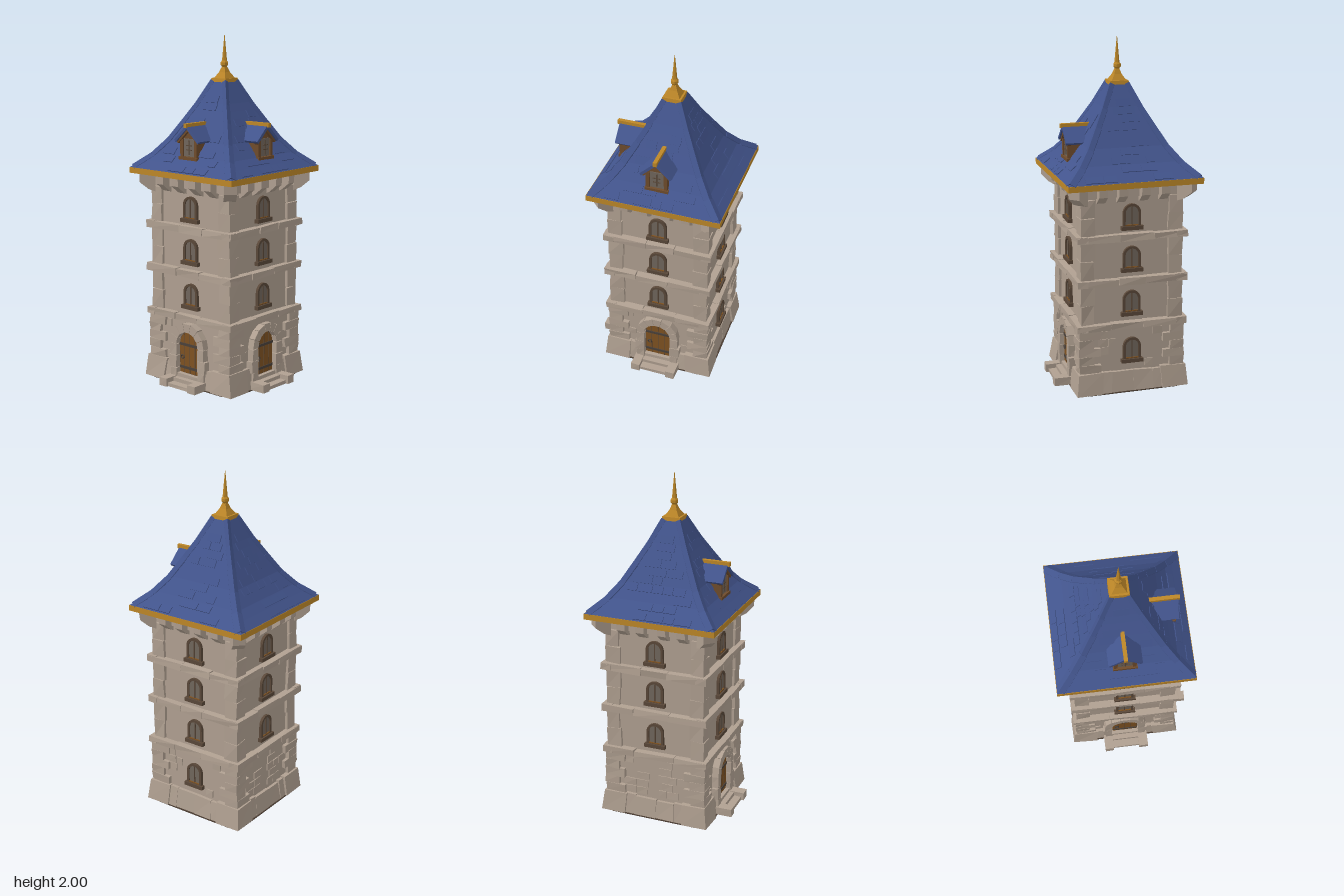
import * as THREE from 'three';

const mat = (name, color) => {
  const m = new THREE.MeshStandardMaterial({ color });
  m.name = name;
  return m;
};

export function createModel() {
  const stone = mat('stone', 0xb0a091), slate = mat('blue slate', 0x42548c);
  const gold = mat('gold', 0xbd8728), wood = mat('door wood', 0x7f5221);
  const timber = mat('dormer timber', 0x6f4c2c), dark = mat('dark wood', 0x5a4839);
  const glass = mat('window glass', 0x70665c), iron = mat('iron', 0x4a413a);
  const under = mat('dark underside', 0x4a3c31);

  let seed = 7;
  const rand = () => (seed = (seed * 16807) % 2147483647) / 2147483647;
  const range = (a, b) => a + (b - a) * rand();
  const outline = points => new THREE.Shape(points.map(q => new THREE.Vector2(...q)));

  const add = (parent, name, geo, material) => {
    const g = geo.index ? geo.toNonIndexed() : geo;
    g.computeVertexNormals();
    const mesh = new THREE.Mesh(g, material);
    mesh.name = name;
    parent.add(mesh);
    return mesh;
  };
  // Box between two corners
  const box = (p, name, m, x0, x1, y0, y1, z0, z1) =>
    add(p, name, new THREE.BoxGeometry(x1 - x0, y1 - y0, z1 - z0)
      .translate((x0 + x1) / 2, (y0 + y1) / 2, (z0 + z1) / 2), m);
  // Rough-hewn block: a box whose eight corners are nudged; lean pulls the top inwards
  const block = (p, name, x0, x1, y0, y1, z0, z1, j = 0.005, lean = 0) => {
    const g = new THREE.BoxGeometry(1, 1, 1), a = g.attributes.position;
    const n = Array.from({ length: 8 }, () => [range(-j, j), range(-j, j), range(-j, j)]);
    for (let i = 0; i < a.count; i++) {
      const u = a.getX(i) > 0, v = a.getY(i) > 0, w = a.getZ(i) > 0;
      const o = n[(u ? 1 : 0) + (v ? 2 : 0) + (w ? 4 : 0)];
      const x = (u ? x1 : x0) + o[0], z = (w ? z1 : z0) + o[2];
      const s = v ? 1 - lean : 1;
      a.setXYZ(i, x * s, y0 < 0.01 && !v ? y0 : (v ? y1 : y0) + o[1], z * s);
    }
    return add(p, name, g, stone);
  };
  // Round-headed outline
  const arch = (half, y0, spring, T = THREE.Shape) => {
    const s = new T();
    s.moveTo(-half, y0);
    s.lineTo(half, y0);
    s.lineTo(half, spring);
    s.absarc(0, spring, half, 0, Math.PI, false);
    s.lineTo(-half, y0);
    return s;
  };
  const extrude = (shape, depth, z = 0) => new THREE.ExtrudeGeometry(shape,
    { depth, bevelEnabled: false, curveSegments: 6 }).translate(0, 0, z);

  const root = new THREE.Group();
  root.name = 'tower';
  const tower = new THREE.Group();
  tower.name = 'towerBody';
  tower.position.set(0.007, 0, -0.012);
  root.add(tower);

  const floors = [[0.13, 0.38], [0.42, 0.645], [0.68, 0.9], [0.94, 1.14]];
  box(tower, 'lowerWall', stone, -0.29, 0.29, 0.004, 0.4, -0.29, 0.29);
  box(tower, 'upperWall', stone, -0.282, 0.282, 0.4, 1.22, -0.282, 0.282);
  box(tower, 'cornice', stone, -0.3, 0.3, 1.15, 1.22, -0.3, 0.3);

  // Dark underside with cut corners
  const e = 0.33, c = 0.265;
  const base = outline([[e, -c], [e, c], [c, e], [-c, e], [-e, c], [-e, -c], [-c, -e], [c, -e]]);
  add(tower, 'underside', extrude(base, 0.004).rotateX(-Math.PI / 2), under);

  // Arched window with sill, frame and glazing bars
  const windowAt = (p, y, z) => {
    const g = new THREE.Group();
    g.name = 'window';
    g.position.set(0, y, z);
    p.add(g);
    const frame = arch(0.052, 0, 0.085);
    frame.holes.push(arch(0.038, 0.012, 0.085, THREE.Path));
    add(g, 'windowFrame', extrude(frame, 0.022, -0.006), dark);
    add(g, 'windowPane', extrude(arch(0.04, 0.01, 0.085), 0.008, 0), glass);
    box(g, 'mullion', dark, -0.003, 0.003, 0.01, 0.12, 0, 0.013);
    box(g, 'innerLedge', wood, -0.038, 0.038, 0.008, 0.017, 0, 0.015);
    box(g, 'windowSill', dark, -0.064, 0.064, -0.012, 0.01, -0.01, 0.026);
  };

  // Arched doorway with stone surround, plank door and steps
  const doorway = p => {
    const g = new THREE.Group();
    g.name = 'doorway';
    p.add(g);
    add(g, 'doorBack', extrude(arch(0.09, 0.04, 0.24), 0.008, 0.288), dark);
    add(g, 'doorLeaf', extrude(arch(0.077, 0.07, 0.24), 0.008, 0.294), wood);
    for (const x of [-0.04, 0, 0.04]) box(g, 'plankGap', dark, x - 0.0015, x + 0.0015, 0.07, 0.305, 0.3, 0.304);
    for (const y of [0.095, 0.232]) box(g, 'doorBand', iron, -0.077, 0.077, y, y + 0.015, 0.298, 0.307);
    add(g, 'doorHandle', new THREE.TorusGeometry(0.011, 0.004, 4, 8).translate(-0.052, 0.165, 0.308), iron);
    for (const s of [-1, 1]) {
      for (let i = 0; i < 3; i++) {
        const y = 0.03 + i * 0.07, w = 0.128 + (i % 2) * 0.01;
        block(g, 'jambStone', Math.min(s * 0.082, s * w), Math.max(s * 0.082, s * w), y, y + 0.068, 0.27, 0.33, 0.003);
      }
      const x = s * 0.11;
      block(g, 'stepCheek', x - 0.027, x + 0.027, 0.002, 0.05, 0.3, 0.415, 0.002);
    }
    for (let i = 0; i < 7; i++) {
      const a0 = i * Math.PI / 7 + 0.01, a1 = (i + 1) * Math.PI / 7 - 0.01, r = 0.133 + range(-0.004, 0.004);
      const s = outline([[0.083, a0], [r, a0], [r, a1], [0.083, a1]]
        .map(([q, a]) => [q * Math.cos(a), 0.24 + q * Math.sin(a)]));
      add(g, 'archStone', extrude(s, 0.062, 0.268), stone);
    }
    block(g, 'lowerStep', -0.085, 0.085, 0.002, 0.022, 0.29, 0.4, 0.002);
    block(g, 'upperStep', -0.085, 0.085, 0.002, 0.045, 0.29, 0.355, 0.002);
    block(g, 'threshold', -0.085, 0.085, 0.03, 0.066, 0.28, 0.322, 0.002);
  };

  // Bracket under the eaves
  const corbel = (p, x, shift, w) => {
    const s = outline([[0.26, 1.11], [0.3, 1.125], [0.35, 1.165], [0.352, 1.218], [0.26, 1.218]]
      .map(([z, y]) => [z + shift, y]));
    add(p, 'corbel', extrude(s, w, -w / 2).rotateY(-Math.PI / 2).translate(x, 0, 0), stone);
  };

  // Roof slope as [half width, height], eaves to peak
  const profile = [[0.384, 1.248], [0.295, 1.325], [0.228, 1.41], [0.165, 1.52], [0.112, 1.615], [0.05, 1.745]];
  const radiusAt = y => {
    let i = 0;
    while (i < profile.length - 2 && y > profile[i + 1][1]) i++;
    const [r0, y0] = profile[i], [r1, y1] = profile[i + 1];
    return r0 + (r1 - r0) * (y - y0) / (y1 - y0);
  };

  // Gabled dormer
  const dormer = p => {
    const g = new THREE.Group();
    g.name = 'dormer';
    p.add(g);
    const gable = outline([[-0.058, 1.3], [0.058, 1.3], [0.058, 1.425], [0, 1.49], [-0.058, 1.425]]);
    add(g, 'dormerWall', extrude(gable, 0.14, 0.155), timber);
    box(g, 'dormerWindow', glass, -0.04, 0.04, 1.335, 1.435, 0.29, 0.299);
    box(g, 'dormerMullion', dark, -0.003, 0.003, 1.345, 1.425, 0.295, 0.303);
    for (const y of [1.37, 1.395]) box(g, 'dormerBar', dark, -0.022, 0.022, y, y + 0.005, 0.295, 0.303);
    box(g, 'dormerSill', timber, -0.068, 0.068, 1.316, 1.333, 0.28, 0.313);
    for (const s of [-1, 1]) {
      box(g, 'dormerPost', timber, s * 0.052 - 0.01, s * 0.052 + 0.01, 1.33, 1.43, 0.28, 0.306);
      const slope = Math.atan2(0.085, 0.09);
      const panel = box(g, 'dormerRoof', slate, -0.062, 0.062, -0.008, 0.008, 0.14, 0.322);
      panel.position.set(s * 0.043, 1.462, 0);
      panel.rotation.z = -s * slope;
      const rafter = box(g, 'dormerRafter', timber, -0.055, 0.055, -0.008, 0.008, 0.29, 0.312);
      rafter.position.set(s * 0.04, 1.45, 0);
      rafter.rotation.z = -s * slope;
    }
    box(g, 'dormerRidge', gold, -0.011, 0.011, 1.498, 1.522, 0.15, 0.334);
  };

  // Stepped slate courses
  const courses = 12, y0 = profile[0][1], rise = (profile[5][1] - y0) / courses;
  for (let i = 0; i < courses; i++) {
    const lo = y0 + i * rise, hi = lo + rise;
    add(tower, 'roofCourse', new THREE.CylinderGeometry(radiusAt(hi) * Math.SQRT2,
      (radiusAt(lo) + 0.003) * Math.SQRT2, rise, 4).rotateY(Math.PI / 4).translate(0, (lo + hi) / 2, 0), slate);
  }

  // Four sides: front, left, back, right
  for (let k = 0; k < 4; k++) {
    const side = new THREE.Group();
    side.name = ['frontSide', 'leftSide', 'backSide', 'rightSide'][k];
    side.rotation.y = k * Math.PI / 2;
    tower.add(side);
    const hasDoor = k === 0 || k === 3;

    // Plinth
    block(side, 'plinthCorner', 0.18, 0.335, 0.004, 0.13, 0.18, 0.335, 0.004, 0.05);
    for (const [a, b] of [[-0.19, -0.125], [-0.125, 0.01], [0.01, 0.125], [0.125, 0.19]])
      if (!hasDoor || Math.abs(a + b) > 0.25) block(side, 'plinthStone', a, b, 0.004, 0.12 + range(-0.01, 0.01), 0.2, 0.322, 0.003, 0.04);

    // Corner stones of each storey
    floors.forEach(([a, b], f) => {
      const n = f ? 2 : 5, h = (b - a) / n, r = f ? 0.299 : 0.311;
      for (let i = 0; i < n; i++) {
        const w = f ? range(0.075, 0.09) : 0.085 + (i % 2) * 0.04, d = f ? range(0.075, 0.09) : 0.125 - (i % 2) * 0.04;
        block(side, 'cornerStone', r - w, r, a + i * h, a + (i + 1) * h, r - d, r, 0.004);
      }
    });

    // String courses
    for (const y of [0.382, 0.645, 0.9]) {
      const m = range(-0.14, -0.06), n = range(0.06, 0.14);
      for (const [a, b] of [[-0.323, m], [m, n], [n, 0.323]])
        block(side, 'bandStone', a + 0.001, b - 0.001, y, y + 0.038, 0.26, 0.322, 0.004);
    }

    // Scattered wall stones
    for (let row = 0; row < 5; row++)
      for (let x = -0.2; x < 0.17;) {
        const end = Math.min(x + range(0.045, 0.085), 0.2), y = 0.135 + row * 0.048;
        const clear = hasDoor ? 0.14 : k === 1 ? 0.07 : 0;
        if ((x > clear || end < -clear) && rand() < 0.55)
          block(side, 'wallStone', x, end - 0.004, y, y + 0.044, 0.27, 0.296, 0.002);
        x = end;
      }

    for (const y of [0.465, 0.725, 0.97]) windowAt(side, y, 0.282);
    if (hasDoor) {
      doorway(side);
      dormer(side);
    } else if (k === 1) windowAt(side, 0.185, 0.292);

    // Corbels, with a larger one at the corner
    for (const x of [-0.18, -0.065, 0.065, 0.18]) corbel(side, x, 0, 0.05);
    const corner = new THREE.Group();
    corner.name = 'roofCorner';
    corner.rotation.y = Math.PI / 4;
    side.add(corner);
    corbel(corner, 0, 0.14, 0.07);

    // Folded hip caps along the roof corner, narrowing to the peak
    for (let i = 0; i < 5; i++) {
      const [rb, yb] = profile[i], [rt, yt] = profile[i + 1];
      const dz = (rb - rt) * Math.SQRT2, dy = yb - yt, w = 0.03 - i * 0.003;
      const fold = outline([[0, 0.009], [-w, -0.012], [-w, -0.03], [w, -0.03], [w, -0.012]]);
      const cap = add(corner, 'hipCap', extrude(fold, Math.hypot(dz, dy) + (i ? 0.006 : -0.018)), slate);
      cap.position.set(0, yt, rt * Math.SQRT2);
      cap.rotation.x = -Math.atan2(dy, dz);
    }

    // Raised slates
    for (let i = 0; i < courses - 1; i++) {
      const lo = y0 + i * rise, hi = lo + rise, rl = radiusAt(lo), rh = radiusAt(hi);
      for (let x = -rh + 0.05; x < rh - 0.1;) {
        const end = Math.min(x + range(0.05, 0.12), rh - 0.04);
        if (rand() < 0.5) {
          const tile = box(side, 'roofSlate', slate, x, end - 0.004, -0.005, 0.005, -0.022, 0.022);
          tile.position.set(0, (lo + hi) / 2, (rl + rh) / 2 + 0.001);
          tile.rotation.x = Math.atan2(hi - lo, rl - rh) - 0.04;
        }
        x = end;
      }
    }
  }

  // Gold eaves and finial
  box(tower, 'eavesTrim', gold, -0.388, 0.388, 1.216, 1.249, -0.388, 0.388);
  const finial = (name, rt, rb, a, b, sides = 4) => add(tower, name,
    new THREE.CylinderGeometry(rt * Math.SQRT2, rb * Math.SQRT2, b - a, sides).rotateY(Math.PI / 4).translate(0, (a + b) / 2, 0), gold);
  finial('finialPlate', 0.053, 0.056, 1.736, 1.757);
  finial('finialFoot', 0.022, 0.042, 1.757, 1.79);
  finial('finialNeck', 0.009, 0.022, 1.79, 1.825);
  add(tower, 'finialBall', new THREE.SphereGeometry(0.023, 7, 5).translate(0, 1.838, 0), gold);
  finial('finialSpike', 0.0008, 0.0105, 1.85, 2, 6);

  return root;
}
